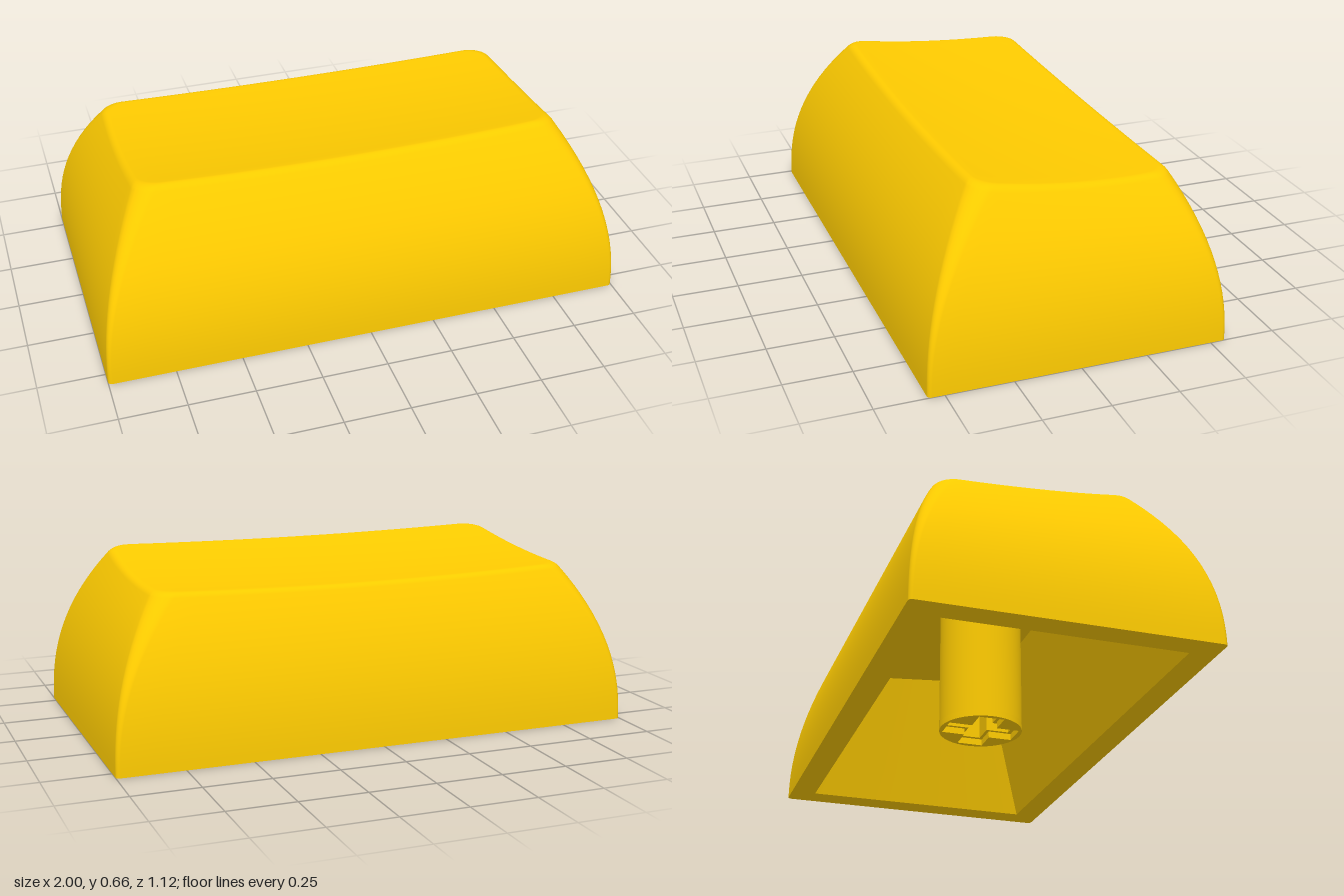
import * as THREE from 'three';
import { toCreasedNormals } from 'three/addons/utils/BufferGeometryUtils.js';

const ARC = 6, SIDE = 16; // segments per rounded corner and per straight side

// Rounded rectangle in x/z as a list of [x, z], running from +x towards +z.
function outline(xh, zFront, zBack, r) {
  const corners = [[xh - r, zFront - r], [-xh + r, zFront - r], [-xh + r, zBack + r], [xh - r, zBack + r]];
  const at = (c, a) => [corners[c][0] + r * Math.cos(a), corners[c][1] + r * Math.sin(a)];
  const pts = [];
  for (let c = 0; c < 4; c++) {
    const a0 = c * Math.PI / 2, a1 = a0 + Math.PI / 2;
    for (let i = 0; i <= ARC; i++) pts.push(at(c, a0 + (a1 - a0) * i / ARC));
    const p = at(c, a1), q = at((c + 1) % 4, a1);
    for (let i = 1; i < SIDE; i++) {
      const f = i / SIDE;
      pts.push([p[0] + (q[0] - p[0]) * f, p[1] + (q[1] - p[1]) * f]);
    }
  }
  return pts;
}

// Skin over a stack of closed rings of [x, y, z].
function loft(rings) {
  const n = rings[0].length, index = [];
  for (let i = 0; i < rings.length - 1; i++) {
    for (let k = 0; k < n; k++) {
      const a = i * n + k, b = i * n + (k + 1) % n;
      index.push(a, a + n, b, b, a + n, b + n);
    }
  }
  const g = new THREE.BufferGeometry();
  g.setAttribute('position', new THREE.Float32BufferAttribute(rings.flat(2), 3));
  g.setIndex(index);
  g.computeVertexNormals();
  return g;
}

// Tilted top plane, and the same plane with a shallow dish pressed into it.
const planeY = z => 0.638 + 0.083 * z;
const topY = (x, z) => planeY(z)
  - 0.017 * (1 - (x / 0.8) ** 2) - 0.02 * (1 - ((z + 0.04) / 0.36) ** 2);

// Outline of the bowed walls, u = 0 at the foot and 1 at the tilted plane.
const wallOutline = (u, inset = 0) => outline(
  1 - 0.2 * u ** 2.25 - inset,
  0.56 - 0.24 * u ** 2.2 - inset,
  -0.56 + 0.15 * u ** 2.2 + inset,
  0.015 + 0.06 * u ** 2);

function outerShell() {
  const edge = wallOutline(1).map(([x, z]) => {
    const y = topY(x, z);
    return { y, u: y / planeY(z) };
  });
  const wallRing = t => edge.map(({ y, u }, k) => {
    const [x, z] = wallOutline(t * u)[k];
    return [x, t * y, z];
  });
  const rings = [];
  for (let i = 0; i <= 16; i++) rings.push(wallRing(0.97 * i / 16));

  // soft edge between wall and top
  const p0 = wallRing(0.97), p1 = wallRing(1);
  const p2 = edge.map(({ u }, k) => {
    const [x, z] = wallOutline(u, 0.02)[k];
    return [x, topY(x, z), z];
  });
  for (let i = 1; i <= 5; i++) {
    const t = i / 5, s = 1 - t;
    rings.push(p0.map((p, k) => p.map((v, j) => s * s * v + 2 * s * t * p1[k][j] + t * t * p2[k][j])));
  }

  // dished top, closing on its centre
  const zc = -0.04;
  for (let i = 1; i <= 14; i++) {
    const s = 1 - i / 14;
    rings.push(p2.map(([px, , pz]) => {
      const x = px * s, z = zc + (pz - zc) * s;
      return [x, topY(x, z), z];
    }));
  }
  return loft(rings);
}

// Flat-walled hollow with a tilted ceiling, and the rim around its mouth.
function innerCavity() {
  const tilted = pts => pts.map(([x, z]) => [x, 0.53 + 0.083 * z, z]);
  const level = pts => pts.map(([x, z]) => [x, 0, z]);
  const ceiling = outline(0.74, 0.275, -0.345, 0);
  const rings = [
    tilted(ceiling.map(() => [0, -0.035])),
    tilted(ceiling),
    level(outline(0.9, 0.46, -0.46, 0)),
    level(wallOutline(0)),
  ];
  return toCreasedNormals(loft(rings), 0.4);
}

// Length of round post from height y, with a cross-shaped socket of arm L and half width w.
function postGeometry(y, height, L, w) {
  const shape = new THREE.Shape().absarc(0, 0, 0.16, 0, Math.PI * 2, false);
  const cross = [[L, -w], [L, w], [w, w], [w, L], [-w, L], [-w, w],
    [-L, w], [-L, -w], [-w, -w], [-w, -L], [w, -L], [w, -w]];
  shape.holes.push(new THREE.Path(cross.map(p => new THREE.Vector2(...p))));
  const g = new THREE.ExtrudeGeometry(shape, { depth: height, bevelEnabled: false, curveSegments: 32 });
  g.rotateX(-Math.PI / 2).translate(0, y, 0);
  return toCreasedNormals(g, 0.6);
}

export function createModel() {
  const group = new THREE.Group();
  group.name = 'keycap';
  const material = new THREE.MeshStandardMaterial({ color: 0xffcc00 });
  const add = (name, geometry) => {
    const mesh = new THREE.Mesh(geometry, material);
    mesh.name = name;
    group.add(mesh);
  };
  add('outerShell', outerShell());
  add('rimAndCavity', innerCavity());
  add('stemMouth', postGeometry(0, 0.025, 0.14, 0.05));
  add('stem', postGeometry(0.025, 0.52, 0.125, 0.037));
  return group;
}
